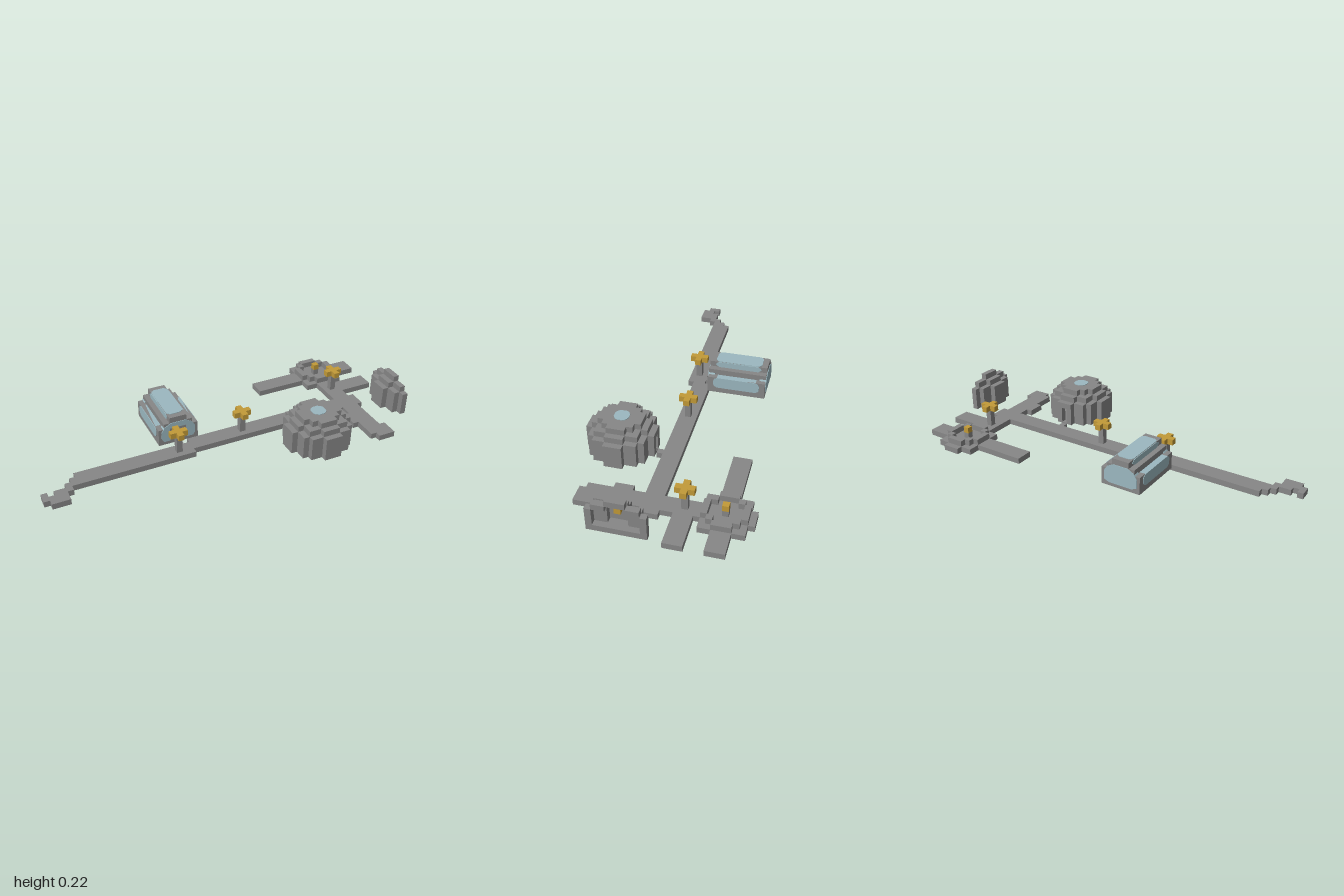
import * as THREE from 'three';
import { mergeGeometries } from 'three/addons/utils/BufferGeometryUtils.js';

const U = 1 / 32;      // one block
const MID = 14.5;      // block row that lies on z = 0
const stone = new THREE.MeshStandardMaterial({ color: 0x878787 });
stone.name = 'stone';
const glass = new THREE.MeshStandardMaterial({ color: 0x9bb8c0 });
glass.name = 'glass';
const gold = new THREE.MeshStandardMaterial({ color: 0xc29a38 });
gold.name = 'gold';

// Box between block coordinates
function box(x0, x1, y0, y1, z0, z1) {
  return new THREE.BoxGeometry((x1 - x0) * U, (y1 - y0) * U, (z1 - z0) * U)
    .translate((x0 + x1) / 2 * U, (y0 + y1) / 2 * U, ((z0 + z1) / 2 - MID) * U);
}

// One mesh from several geometries
function part(name, material, geos) {
  const mesh = new THREE.Mesh(mergeGeometries(geos), material);
  mesh.name = name;
  return mesh;
}

// Row widths of round block discs, by diameter
const DISCS = {
  5: [3, 5, 5, 5, 3],
  7: [3, 5, 7, 7, 7, 5, 3],
  9: [3, 7, 7, 9, 9, 9, 7, 7, 3],
  11: [3, 7, 9, 9, 11, 11, 11, 9, 9, 7, 3],
};

// Round layer, with an optional round hole, cut off at x = maxX
function disc(cx, cz, d, hole, y0, y1, maxX = 32) {
  const geos = [];
  const add = (x0, x1, z) => {
    const end = Math.min(x1, maxX);
    if (end > x0) geos.push(box(x0, end, y0, y1, z, z + 1));
  };
  DISCS[d].forEach((w, i) => {
    const z = cz - d / 2 + i;
    const inner = hole ? DISCS[hole][i - (d - hole) / 2] : 0;
    if (inner) {
      add(cx - w / 2, cx - inner / 2, z);
      add(cx + inner / 2, cx + w / 2, z);
    } else add(cx - w / 2, cx + w / 2, z);
  });
  return geos;
}

// Flat pane from outline points, extruded along +z
function pane(points, depth) {
  const shape = new THREE.Shape(points.map(([x, y]) => new THREE.Vector2(x * U, y * U)));
  return new THREE.ExtrudeGeometry(shape, { depth: depth * U, bevelEnabled: false });
}

// Rectangle with clipped corners
function clipped(x0, x1, y0, y1, c) {
  const h = c / 2;
  return [[x0 + c, y0], [x1 - c, y0], [x1 - h / 2, y0 + h], [x1, y0 + c], [x1, y1 - c], [x1 - h / 2, y1 - h],
    [x1 - c, y1], [x0 + c, y1], [x0 + h / 2, y1 - h], [x0, y1 - c], [x0, y0 + c], [x0 + h / 2, y0 + h]];
}

function makePaths() {
  const strips = [
    [-26, -6, 15, 18], [-6, 27, 14, 17],                                  // main walk
    [-32, -31, 18, 20], [-31, -30, 19, 21], [-30, -28, 18, 21],           // ragged end
    [-28, -27, 17, 19], [-27, -26, 16, 18],
    [23, 26, 8, 14], [23, 26, 17, 26], [22, 23, 19, 22],                  // cross walk
    [24, 26, 26, 27], [26, 27, 24, 27],
    [12, 20, 3, 6], [29, 32, 3, 6], [26, 32, 9, 12],                      // side walks
    [13, 14, 17, 18], [-8, -7, 14, 15],                                   // doorsteps
  ];
  return part('paths', stone, strips.map(([a, b, c, d]) => box(a, b, 0, 1, c, d)));
}

function makeLamp(x, z) {
  const g = new THREE.Group();
  g.name = 'lamp';
  g.add(part('lampPost', stone, [box(x - 0.5, x + 0.5, 1, 4, z - 0.5, z + 0.5)]));
  g.add(part('lampHead', gold, [
    box(x - 1.5, x + 1.5, 4, 5, z - 0.5, z + 0.5),
    box(x - 0.5, x + 0.5, 4, 5, z - 1.5, z - 0.5),
    box(x - 0.5, x + 0.5, 4, 5, z + 0.5, z + 1.5),
  ]));
  return g;
}

function makeFountain(x, z) {
  const g = new THREE.Group();
  g.name = 'fountain';
  g.add(part('fountainBase', stone, disc(x, z, 9, 0, 0, 1)));
  g.add(part('fountainRim', stone, disc(x, z, 7, 5, 1, 2)));
  g.add(part('fountainPillar', stone, [box(x - 0.5, x + 0.5, 1, 2, z - 0.5, z + 0.5)]));
  g.add(part('fountainLight', gold, [box(x - 0.5, x + 0.5, 2, 3, z - 0.5, z + 0.5)]));
  return g;
}

// Hollow stepped dome
function makeDome(name, x, z, maxX, doorway) {
  const g = new THREE.Group();
  g.name = name;
  g.add(part('domeFloor', stone, disc(x, z, 11, 0, 1, doorway ? 1.2 : 2, maxX)));
  const wall = disc(x, z, 11, 9, doorway ? 1.2 : 2, 5, maxX);
  if (doorway) {
    // replace the back row by two jambs and a lintel
    wall.shift();
    const b = z - 5.5;
    wall.push(box(x - 1.5, x - 0.5, 1.2, 5, b, b + 1), box(x + 0.5, x + 1.5, 1.2, 5, b, b + 1),
      box(x - 0.5, x + 0.5, 4, 5, b, b + 1));
  }
  g.add(part('domeWall', stone, wall));
  g.add(part('domeShoulder', stone, disc(x, z, 9, 7, 5, 6, maxX)));
  g.add(part('domeRoof', stone, disc(x, z, 7, 0, 6, 7, maxX)));
  return g;
}

function makeGreenhouse() {
  const g = new THREE.Group();
  g.name = 'greenhouse';
  const cx = -7.5;
  const frame = [
    // back end wall
    box(-11, -4, 1, 4, 4, 5), box(-10, -5, 4, 5, 4, 5), box(-9, -6, 5, 6, 4, 5),
    // front end wall around the doorway
    box(-11, -8, 1, 4, 13, 14), box(-7, -4, 1, 4, 13, 14), box(-8, -7, 3, 4, 13, 14),
    box(-10, -5, 4, 5, 13, 14), box(-9, -6, 5, 6, 13, 14),
    // roof slab
    box(-9, -6, 5, 6, 5, 13),
  ];
  const panes = [];
  for (const s of [-1, 1]) {
    const span = (a, b, y0, y1) => {
      const p = cx + s * a, q = cx + s * b;
      return box(Math.min(p, q), Math.max(p, q), y0, y1, 5, 13);
    };
    frame.push(span(2.5, 3.5, 1, 4), span(1.5, 2.5, 4, 5));
    // long side panes, low and high
    for (const [face, depth, y0, y1] of [[3.5, 1.2, 2, 4], [1.5, 0.2, 5, 6]]) {
      const p = pane(clipped(-4, 4, y0, y1, 0.6), depth).rotateY(Math.PI / 2);
      const start = s > 0 ? cx + face + 0.1 - depth : cx - face - 0.1;
      panes.push(p.translate(start * U, 0, (9 - MID) * U));
    }
  }
  // roof pane, showing above and below
  panes.push(pane(clipped(-1.45, 1.45, -4, 4, 0.6), 1.2).rotateX(-Math.PI / 2)
    .translate(cx * U, 4.9 * U, (9 - MID) * U));
  // end panes, the front one notched around the door frame
  const end = [[-3, 2], [-2, 1.6], [2, 1.6], [3, 2], [3, 3.5], [2.4, 4.4], [1.3, 5], [-1.3, 5], [-2.4, 4.4], [-3, 3.5]];
  const front = [[-2.6, 1.6], [-1.5, 1.6], [-1.5, 4], [1.5, 4], [1.5, 1.6], [2.6, 1.6], [3, 2.2],
    [3, 3.5], [2.4, 4.4], [1.3, 5], [-1.3, 5], [-2.4, 4.4], [-3, 3.5], [-3, 2.2]];
  panes.push(pane(end, 1.2).translate(cx * U, 0, (3.9 - MID) * U));
  panes.push(pane(front, 1.2).translate(cx * U, 0, (12.9 - MID) * U));
  g.add(part('greenhouseFrame', stone, frame), part('greenhousePanes', glass, panes));
  return g;
}

export function createModel() {
  const model = new THREE.Group();
  model.name = 'settlement';
  model.add(makePaths(), makeFountain(24.5, 4.5), makeGreenhouse());
  for (const [x, z] of [[-8.5, 16.5], [3.5, 15.5], [24.5, 10.5]]) model.add(makeLamp(x, z));

  // full dome with a round skylight
  const dome = makeDome('dome', 13.5, 23.5, 32, true);
  dome.add(part('skylight', glass, [pane(clipped(-1.2, 1.2, -1.2, 1.2, 0.75), 1.2)
    .rotateX(-Math.PI / 2).translate(13.5 * U, 5.9 * U, (23.5 - MID) * U)]));
  model.add(dome);

  // dome sliced open at the right edge, with a wall light inside
  const half = makeDome('cutDome', 34.5, 18.5, 32, false);
  half.add(part('wallLight', gold, [box(30, 31, 4, 5, 18, 19)]));
  model.add(half);
  return model;
}
